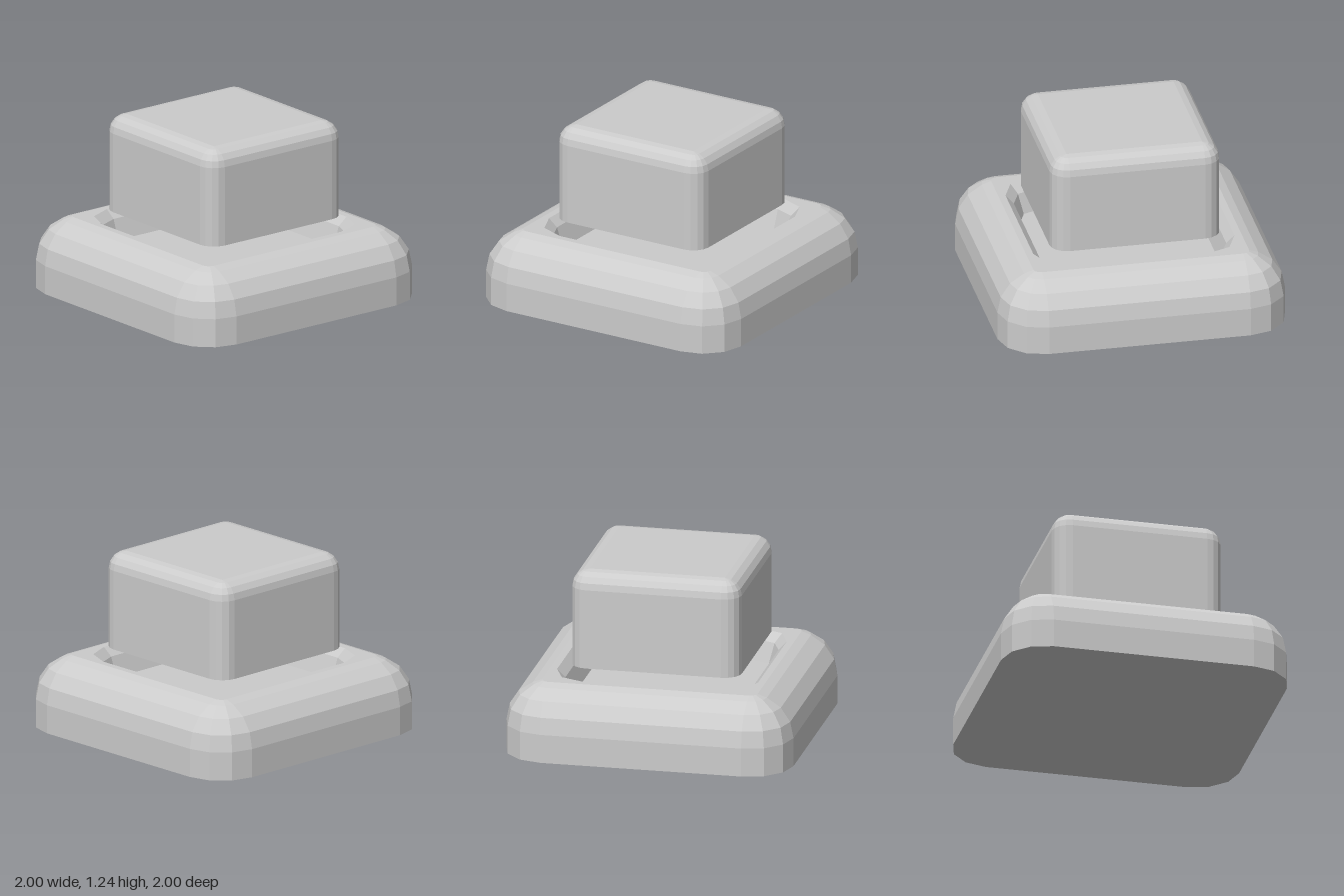
import * as THREE from 'three';

// Rounded-square outline, counter-clockwise seen with z flipped to plan y
function outline(half, radius, segs) {
  const pts = [];
  for (let c = 0; c < 4; c++) {
    const mid = Math.PI / 4 + c * Math.PI / 2;
    const cx = Math.sign(Math.cos(mid)) * (half - radius);
    const cy = Math.sign(Math.sin(mid)) * (half - radius);
    for (let i = 0; i <= segs; i++) {
      const a = (c + i / segs) * Math.PI / 2;
      pts.push(new THREE.Vector2(cx + radius * Math.cos(a), cy + radius * Math.sin(a)));
    }
  }
  return pts;
}

// Skin through rings given as [half width, corner radius, y], in order
function loft(rings, segs) {
  const pos = [], index = [], n = 4 * (segs + 1);
  for (const [half, radius, y] of rings)
    for (const p of outline(half, radius, segs)) pos.push(p.x, y, -p.y);
  for (let r = 0; r < rings.length - 1; r++)
    for (let i = 0; i < n; i++) {
      const a = r * n + i, b = r * n + (i + 1) % n;
      index.push(a, b, b + n, a, b + n, a + n);
    }
  const geo = new THREE.BufferGeometry();
  geo.setAttribute('position', new THREE.Float32BufferAttribute(pos, 3));
  geo.setIndex(index);
  geo.computeVertexNormals();
  return geo;
}

// Flat rounded-square plate at height y, optionally with a hole
function plate(points, y, facingDown = false, hole = null) {
  const shape = new THREE.Shape(points);
  if (hole) shape.holes.push(new THREE.Path(hole));
  const geo = new THREE.ShapeGeometry(shape);
  geo.rotateX(facingDown ? Math.PI / 2 : -Math.PI / 2);
  return geo.translate(0, y, 0);
}

// Quarter-round shoulder: rings whose corner radius shrinks with the inset
function shoulder(half, radius, yTop, segs, endInset) {
  const rings = [];
  for (let i = 0; i <= segs; i++) {
    const a = (i / segs) * Math.PI / 2;
    const inset = Math.min(radius * (1 - Math.cos(a)), endInset);
    rings.push([half - inset, radius - inset, yTop - radius * (1 - Math.sin(a))]);
  }
  return rings;
}

export function createModel() {
  const material = new THREE.MeshStandardMaterial({ color: 0xcccccc, flatShading: true });
  const model = new THREE.Group();
  const base = new THREE.Group();
  base.name = 'base';
  const cap = new THREE.Group();
  cap.name = 'buttonCap';
  model.add(base, cap);

  const add = (group, name, geometry) => {
    const mesh = new THREE.Mesh(geometry, material);
    mesh.name = name;
    group.add(mesh);
  };

  // Base housing with a broad rounded shoulder
  add(base, 'housing', loft([[1, 0.3, 0], ...shoulder(1, 0.3, 0.5, 4, 0.25)], 3));
  add(base, 'housingBottom', plate(outline(1, 0.3, 3), 0, true));
  add(base, 'rim', plate(outline(0.75, 0.05, 3), 0.5, false, outline(0.7, 0.24, 2)));

  // Recess below the button
  add(base, 'recessWall', loft([[0.7, 0.24, 0.5], [0.645, 0.2, 0.44], [0.6, 0.16, 0.3]], 2));
  add(base, 'recessFloor', plate(outline(0.6, 0.16, 2), 0.3));

  // Floating button cap, rounded on top and sharp below
  add(cap, 'capBody', loft([[0.59, 0.12, 0.56], ...shoulder(0.59, 0.12, 1.24, 4, 0.118)], 4));
  add(cap, 'capTop', plate(outline(0.472, 0.002, 4), 1.24));
  add(cap, 'capBottom', plate(outline(0.59, 0.12, 4), 0.56, true));

  return model;
}
